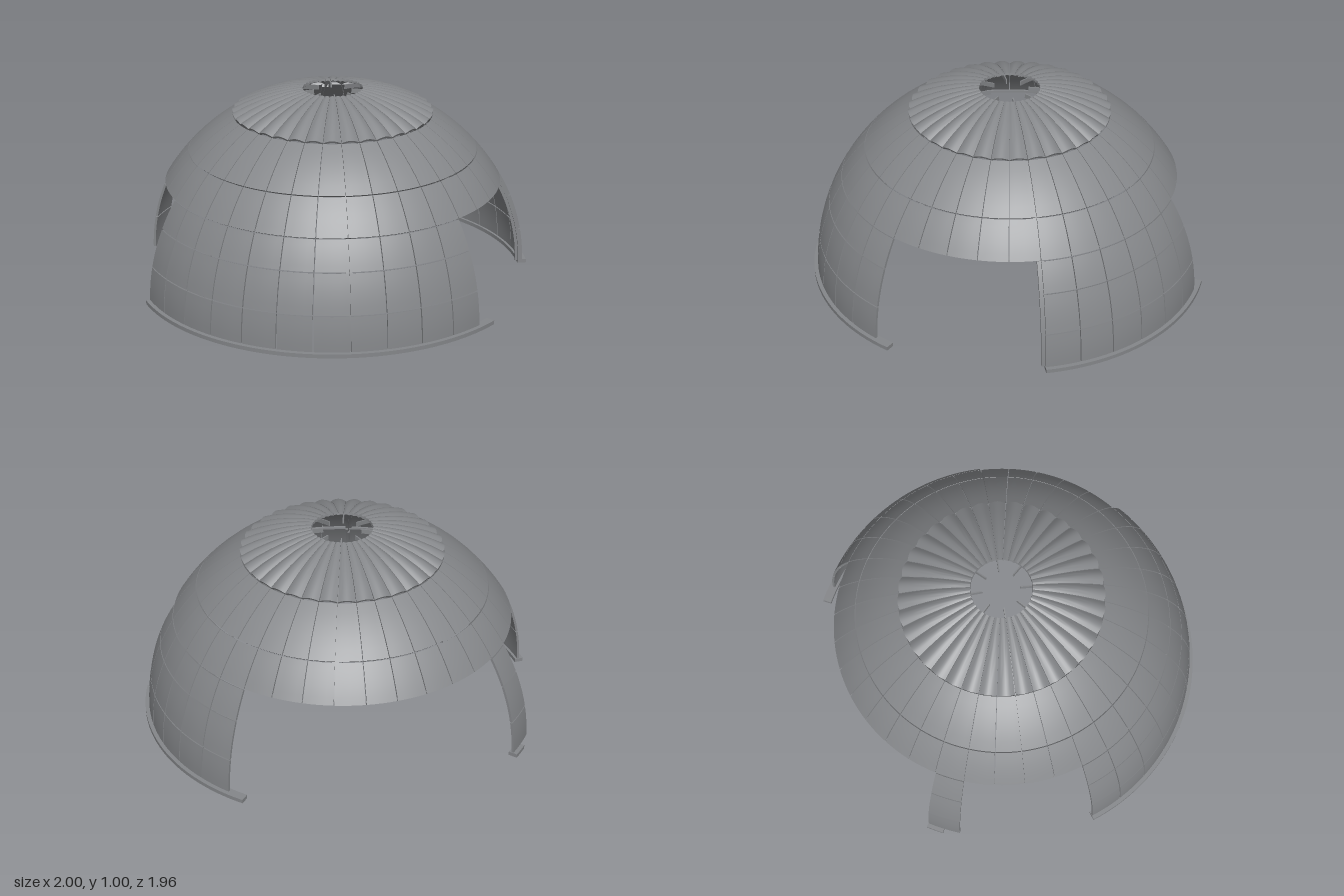
import * as THREE from 'three';
import { mergeGeometries, toCreasedNormals } from 'three/addons/utils/BufferGeometryUtils.js';

const rad = THREE.MathUtils.degToRad;
const OUTER = 1.01, SHELL = 0.012, GAP = 0.16;

// Curved shell panel: azimuth a0..a1 (0 = front, 90 = +x) and elevation e0..e1, in degrees.
// "bulge" swells the panel between its side seams.
function panel(a0, a1, e0, e1, bulge = 0) {
  const g = new THREE.BoxGeometry(1, 1, 1, bulge ? 8 : 4, 5, 1);
  const p = g.attributes.position;
  for (let i = 0; i < p.count; i++) {
    const u = p.getX(i) + 0.5;
    const a = rad(THREE.MathUtils.lerp(a0 + GAP, a1 - GAP, u));
    const e = rad(THREE.MathUtils.lerp(e0 + GAP, e1 - GAP, p.getY(i) + 0.5));
    const swell = bulge * Math.cos(e) * Math.sin(Math.PI * u);
    const r = OUTER - SHELL * (0.5 - p.getZ(i)) + swell;
    p.setXYZ(i, r * Math.sin(a) * Math.cos(e), r * Math.sin(e), r * Math.cos(a) * Math.cos(e));
  }
  return toCreasedNormals(g, 0.7);
}

// Flat arc bar in the XY plane, centred on z = 0
function arcBar(r0, r1, from, to, depth) {
  const s = new THREE.Shape();
  s.absarc(0, 0, r1, rad(from), rad(to), false);
  s.absarc(0, 0, r0, rad(to), rad(from), true);
  const steps = Math.max(6, Math.ceil((to - from) / 5));
  const g = new THREE.ExtrudeGeometry(s, { depth, bevelEnabled: false, curveSegments: steps });
  return toCreasedNormals(g.translate(0, 0, -depth / 2), 0.5);
}

// Upright rib following the dome at one azimuth
const rib = (azimuth, e0, e1, r0, width) =>
  arcBar(r0, OUTER - SHELL, e0, e1, width).rotateY(rad(azimuth - 90));

// Level ring segment, azimuth a0..a1, resting at height y
const level = (r0, r1, a0, a1, y, height) =>
  arcBar(r0, r1, a0 - 90, a1 - 90, height).rotateX(-Math.PI / 2).translate(0, y + height / 2, 0);

export function createModel() {
  const model = new THREE.Group();
  model.name = 'openDome';
  const dome = new THREE.Group();
  dome.name = 'dome';
  dome.position.set(-0.035, 0, -0.05);
  model.add(dome);

  const metal = new THREE.MeshStandardMaterial({ color: 0x85878a, side: THREE.DoubleSide });
  metal.name = 'greyMetal';
  const add = (name, parts) => {
    const mesh = new THREE.Mesh(mergeGeometries(parts), metal);
    mesh.name = name;
    dome.add(mesh);
  };
  const panels = (a0, a1, rows, bulge) => {
    const out = [];
    for (let a = a0; a < a1; a += 10)
      for (let i = 0; i + 1 < rows.length; i++) out.push(panel(a, a + 10, rows[i], rows[i + 1], bulge));
    return out;
  };

  // Three separate lower walls, each on a length of base rail
  const walls = [
    { name: 'front', from: -70, to: 40, rail: [-70, 45], ribs: [-45, 0] },
    { name: 'backLeft', from: 90, to: 150, rail: [90, 155], ribs: [90, 135] },
    { name: 'backRight', from: -120, to: -110, rail: [-120, -115], ribs: [] },
  ];
  for (const w of walls) {
    add(w.name + 'Wall', panels(w.from, w.to, [1, 11.2, 22.7, 31.7]));
    add(w.name + 'BaseRail', [level(0.985, 1.03, ...w.rail, 0, 0.02)]);
    if (w.ribs.length) add(w.name + 'Ribs', w.ribs.flatMap((a) => [
      rib(a, 1, 31.7, 0.985, 0.034),
      rib(a, 1, 31.7, 0.97, 0.01),
    ]));
  }

  // Full upper band and fluted cap around the open eye
  add('upperBand', panels(-180, 180, [31.7, 43.3, 60]));
  add('flutedCap', panels(-180, 180, [60, 81.5], 0.03));

  // Inner frame: eight ribs running up to the eye, and a ring at the lower edge
  const frame = [level(0.825, 0.852, 0, 360, 0.53, 0.012)];
  for (let a = 0; a < 360; a += 45) {
    frame.push(rib(a, 31.9, 59.8, 0.985, 0.034));
    frame.push(rib(a, 31.9, 84.5, 0.975, 0.006));
  }
  add('innerFrame', frame);

  return model;
}
